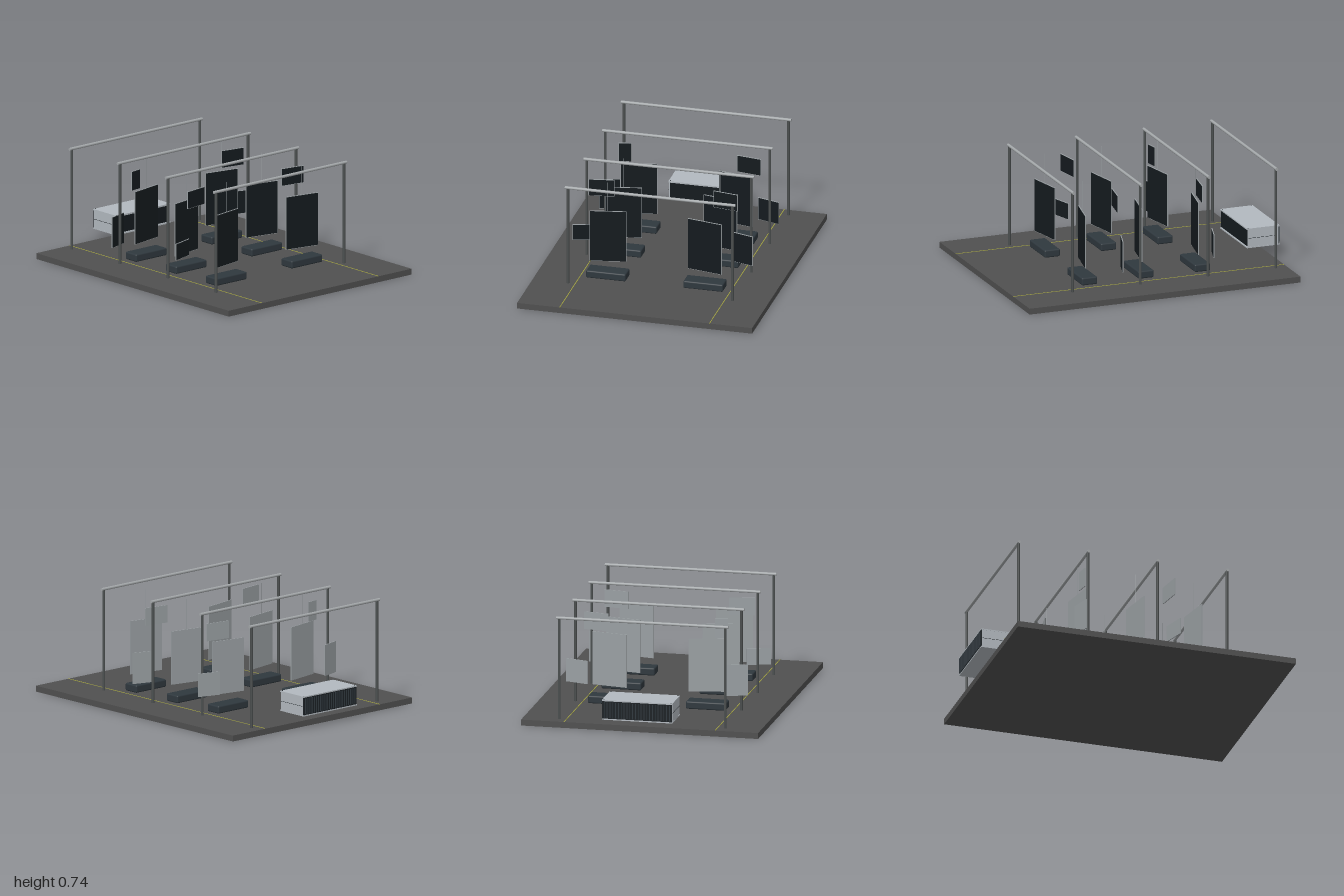
import * as THREE from 'three';
import { RoundedBoxGeometry } from 'three/addons/geometries/RoundedBoxGeometry.js';

const mat = (color) => new THREE.MeshStandardMaterial({ color });

export function createModel() {
  const root = new THREE.Group();
  const floorMat = mat(0x505050), postMat = mat(0x4c5050), beamMat = mat(0xa4a8aa);
  const baseMat = mat(0x2f383e), shellMat = mat(0x9aa0a3), screenMat = mat(0x141a1e);
  const caseMat = mat(0xb2b9bf), lineMat = mat(0xa8a840), darkMat = mat(0x1b2024);

  const add = (name, geo, material, x, y, z, parent = root) => {
    const m = new THREE.Mesh(geo, material);
    m.name = name;
    m.position.set(x, y, z);
    parent.add(m);
    return m;
  };
  const box = (name, w, h, d, material, x, y, z, parent) =>
    add(name, new THREE.BoxGeometry(w, h, d), material, x, y, z, parent);

  // Floor slab with a thin guide line along each side
  box('floor', 1.6, 0.04, 1.92, floorMat, 0, 0.02, 0.04);
  for (const s of [-1, 1]) box('floorLine', 0.005, 0.002, 1.92, lineMat, s * 0.51, 0.041, 0.04);

  // Four gantries: two posts and a round beam each
  for (const z of [0.6, 0.12, -0.36, -0.84]) {
    const gantry = new THREE.Group();
    gantry.name = 'gantry';
    gantry.position.z = z;
    root.add(gantry);
    for (const s of [-1, 1]) {
      add('post', new THREE.CylinderGeometry(0.009, 0.009, 0.685, 12), postMat, s * 0.56, 0.3825, 0, gantry);
    }
    add('beam', new THREE.CylinderGeometry(0.01, 0.01, 1.16, 12), beamMat, 0, 0.725, 0, gantry)
      .rotation.z = Math.PI / 2;
  }

  // Thin panel with a dark front, turned towards the centre aisle
  const panel = (name, side, x, y, z, w, h, turn) => {
    const g = new THREE.Group();
    g.name = name;
    g.position.set(side * x, y, z);
    g.rotation.y = -side * turn;
    root.add(g);
    box('panelShell', w, h, 0.006, shellMat, 0, 0, 0, g);
    box('panelScreen', w - 0.006, h - 0.006, 0.002, screenMat, 0, 0, 0.0035, g);
  };

  // Three rows of plinths, large panels and hanging wires
  for (const z of [0.44, 0.04, -0.36]) {
    for (const s of [-1, 1]) {
      add('plinth', new RoundedBoxGeometry(0.27, 0.052, 0.11, 3, 0.01), baseMat, s * 0.331, 0.069, z);
      panel('largePanel', s, 0.33, 0.335, z, 0.245, 0.36, 0.19);
      add('wire', new THREE.CylinderGeometry(0.0012, 0.0012, 0.205, 6), shellMat, s * 0.331, 0.6175, z);
    }
  }

  // Small upper panels: side, x, y, z, width, height, turn
  panel('upperPanel', 1, 0.42, 0.588, 0.243, 0.172, 0.118, 0.16);
  panel('upperPanel', -1, 0.425, 0.588, 0.243, 0.172, 0.118, 0.16);
  panel('upperPanel', 1, 0.42, 0.588, -0.356, 0.172, 0.118, 0.16);
  panel('upperPanel', -1, 0.426, 0.588, -0.356, 0.085, 0.132, 0.16);

  // Small lower panels at the outer edges
  panel('lowerPanel', 1, 0.535, 0.255, 0.24, 0.155, 0.21, 0.29);
  panel('lowerPanel', -1, 0.541, 0.255, 0.24, 0.16, 0.112, 0.29);
  panel('lowerPanel', 1, 0.54, 0.255, -0.404, 0.16, 0.157, 0.29);
  panel('lowerPanel', -1, 0.541, 0.255, -0.404, 0.142, 0.21, 0.29);

  // Equipment cabinet floating at the rear
  const cabinet = new THREE.Group();
  cabinet.name = 'cabinet';
  cabinet.position.set(0, 0.158, -0.88);
  root.add(cabinet);
  box('cabinetBody', 0.474, 0.128, 0.216, caseMat, 0, 0, 0, cabinet);
  for (const s of [-1, 1]) {
    box('cabinetLid', 0.476, 0.008, 0.23, caseMat, 0, s * 0.063, 0, cabinet);
    box('sideSeam', 0.002, 0.002, 0.21, darkMat, s * 0.2375, 0, 0, cabinet);
    for (const t of [-1, 1]) {
      add('screw', new THREE.CylinderGeometry(0.003, 0.003, 0.002, 8), darkMat, s * 0.226, 0.068, t * 0.104, cabinet);
    }
  }
  box('frontPlate', 0.455, 0.108, 0.004, screenMat, 0, 0, 0.11, cabinet);
  box('rearGrille', 0.47, 0.118, 0.006, darkMat, 0, 0, -0.111, cabinet);
  // Vertical fins across the rear grille
  for (let i = 0; i < 24; i++) {
    box('grilleFin', 0.005, 0.105, 0.006, baseMat, -0.22 + i * 0.44 / 23, 0, -0.117, cabinet);
  }

  return root;
}
